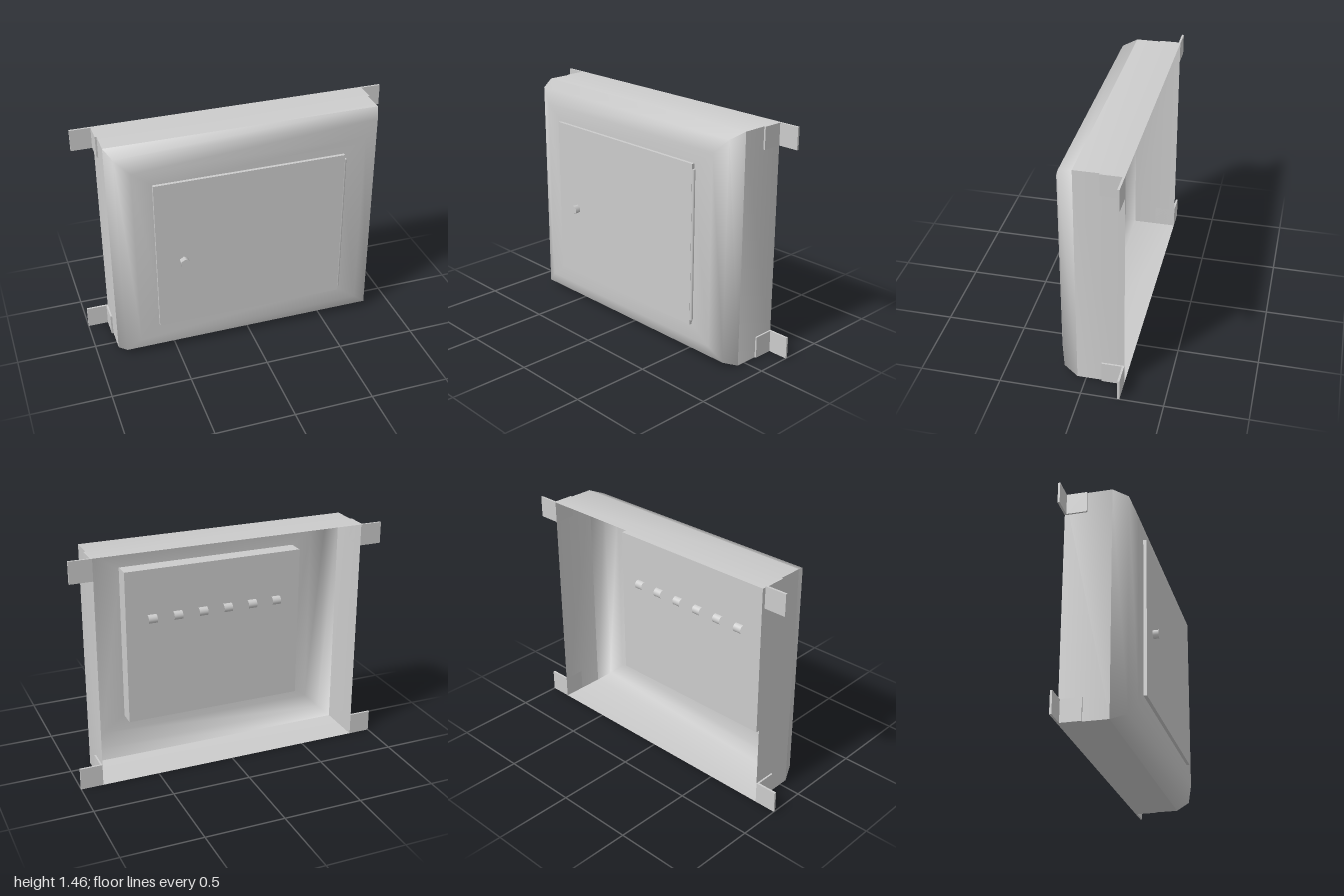
import * as THREE from 'three';
import { toCreasedNormals } from 'three/addons/utils/BufferGeometryUtils.js';

const grey = new THREE.MeshStandardMaterial({ color: 0xcccccc });
const greyThin = new THREE.MeshStandardMaterial({ color: 0xcccccc, side: THREE.DoubleSide });

function add(parent, name, geometry, x = 0, y = 0, z = 0, material = grey) {
  const mesh = new THREE.Mesh(geometry, material);
  mesh.name = name;
  mesh.position.set(x, y, z);
  parent.add(mesh);
  return mesh;
}

// Box given by its limits on each axis
function addBox(parent, name, [x0, x1], [y0, y1], [z0, z1]) {
  return add(parent, name, new THREE.BoxGeometry(x1 - x0, y1 - y0, z1 - z0),
    (x0 + x1) / 2, (y0 + y1) / 2, (z0 + z1) / 2);
}

// Thin shell skinned through rectangular rings [halfWidth, halfHeight, z], back to front
function shellGeometry(rings, centreY) {
  const corners = [[-1, -1], [1, -1], [1, 1], [-1, 1]];
  const points = [];
  const index = [];
  rings.forEach(([w, h, z], i) => {
    corners.forEach(([sx, sy], k) => {
      points.push(sx * w, centreY + sy * h, z);
      if (i === 0) return;
      const n = (k + 1) % 4;
      const a = (i - 1) * 4 + k, b = (i - 1) * 4 + n, c = i * 4 + n, d = i * 4 + k;
      index.push(a, b, c, a, c, d);
    });
  });
  const geometry = new THREE.BufferGeometry();
  geometry.setAttribute('position', new THREE.Float32BufferAttribute(points, 3));
  geometry.setIndex(index);
  // Soft bevels and mitres, sharp only between the four walls
  return toCreasedNormals(geometry, 1.45);
}

export function createModel() {
  const model = new THREE.Group();
  model.name = 'wallCabinet';
  const height = 1.455, half = height / 2;

  // Open-backed housing with a bevelled front and a door opening
  const rings = [
    [0.86, half, -0.235],
    [0.86, half, 0.055],
    [0.82, half - 0.037, 0.145],
    [0.73, half - 0.125, 0.18],
    [0.58, 0.49, 0.18],
  ];
  add(model, 'housing', shellGeometry(rings, half), 0, 0, 0, greyThin);

  // Door on the front, hinged on the model's left
  const door = new THREE.Group();
  door.name = 'door';
  model.add(door);
  addBox(door, 'doorPanel', [-0.61, 0.592], [0.225, 1.237], [0.18, 0.2]);
  add(door, 'hingePin', new THREE.CylinderGeometry(0.01, 0.01, 0.95, 12), 0.596, 0.73, 0.19);

  // Six-sided knob
  const knob = new THREE.CylinderGeometry(0.029, 0.029, 0.04, 6).rotateX(Math.PI / 2);
  add(door, 'knob', knob, -0.44, 0.685, 0.215);

  // Inner box behind the door
  const innerBack = 0.075;
  addBox(model, 'innerBox', [-0.598, 0.582], [0.225, 1.235], [innerBack, 0.18]);

  // Row of curved hoods on the back of the inner box, open below and at the ends
  const hood = new THREE.CylinderGeometry(0.03, 0.03, 0.058, 10, 1, true, Math.PI / 2, Math.PI * 0.72)
    .rotateZ(Math.PI / 2);
  for (let i = 0; i < 6; i++) {
    add(model, 'hood', hood, (i - 2.5) * 0.169 - 0.01, 0.91, innerBack, greyThin);
  }

  // Angle brackets at the four back corners
  for (const side of [-1, 1]) {
    for (const y of [[0, 0.138], [height - 0.135, height]]) {
      const bracket = new THREE.Group();
      bracket.name = 'mountingBracket';
      model.add(bracket);
      const span = (a, b) => (side > 0 ? [a, b] : [-b, -a]);
      addBox(bracket, 'wallFlange', span(0.86, 1), y, [-0.235, -0.222]);
      addBox(bracket, 'sideFlange', span(0.86, 0.871), y, [-0.222, -0.097]);
    }
  }
  return model;
}
